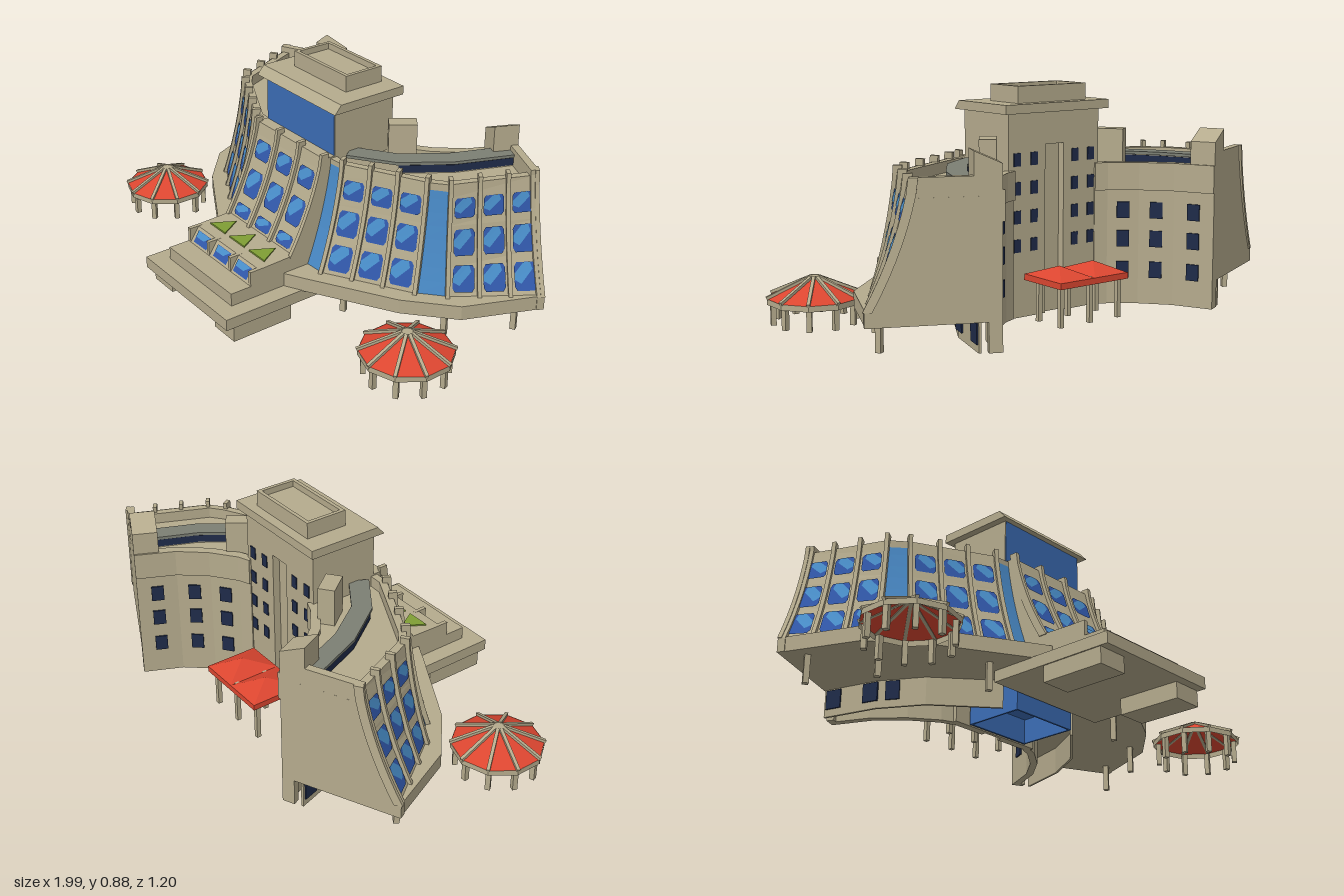
import * as THREE from 'three';
import { mergeGeometries } from 'three/addons/utils/BufferGeometryUtils.js';

const mat = (name, color, side = THREE.FrontSide) => Object.assign(new THREE.MeshStandardMaterial({ color, side }), { name });
const stone = mat('stone', 0xb5ab8d, THREE.DoubleSide);
const glass = mat('glass', 0x3c6db6, THREE.DoubleSide);
const stripGlass = mat('stripGlass', 0x4888c4, THREE.DoubleSide);
const pane = mat('pane', 0x3158aa);
const shine = mat('shine', 0x4a90cc);
const navy = mat('navy', 0x1f2b49);
const red = mat('red', 0xdc4630, THREE.DoubleSide);
const green = mat('green', 0x7f9e34);
const gray = mat('gray', 0x7c7f74);

function add(group, name, material, geos) {
  const list = [geos].flat().map(g => {
    const n = g.index ? g.toNonIndexed() : g.clone();
    n.deleteAttribute('uv');
    n.computeVertexNormals();
    return n;
  });
  const mesh = new THREE.Mesh(mergeGeometries(list), material);
  mesh.name = name;
  group.add(mesh);
}

// Box from its limits
const box = (x0, x1, y0, y1, z0, z1) =>
  new THREE.BoxGeometry(x1 - x0, y1 - y0, z1 - z0).translate((x0 + x1) / 2, (y0 + y1) / 2, (z0 + z1) / 2);

// Four thin walls around a rectangle
const frame = (x0, x1, y0, y1, z0, z1, t) => [box(x0, x1, y0, y1, z0, z0 + t), box(x0, x1, y0, y1, z1 - t, z1),
  box(x0, x0 + t, y0, y1, z0 + t, z1 - t), box(x1 - t, x1, y0, y1, z0 + t, z1 - t)];

const shapeOf = pts => new THREE.Shape(pts.map(p => new THREE.Vector2(p[0], p[1])));
const extrude = (pts, depth) => new THREE.ExtrudeGeometry(shapeOf(pts), { depth, bevelEnabled: false });

// Upright prism over a plan outline of [x, z] points
const prism = (plan, y0, y1) => extrude(plan.map(([x, z]) => [x, -z]), y1 - y0).rotateX(-Math.PI / 2).translate(0, y0, 0);

// Shift a plan polyline sideways
function offset(pts, d) {
  return pts.map((p, i) => {
    const a = pts[Math.max(i - 1, 0)], b = pts[Math.min(i + 1, pts.length - 1)];
    const l = Math.hypot(b[0] - a[0], b[1] - a[1]);
    return [p[0] - (b[1] - a[1]) / l * d, p[1] + (b[0] - a[0]) / l * d];
  });
}
const ribbon = (pts, d0, d1, y0, y1) => prism([...offset(pts, d0), ...offset(pts, d1).reverse()], y0, y1);

// Skin over equal rings of points, capped at both ends when closed
function loft(rings, closed) {
  const n = rings[0].length, idx = [];
  for (let r = 0; r < rings.length - 1; r++)
    for (let i = 0; i < (closed ? n : n - 1); i++) {
      const a = r * n + i, b = r * n + (i + 1) % n;
      idx.push(a, b, b + n, a, b + n, a + n);
    }
  if (closed) {
    const t = (rings.length - 1) * n;
    for (let i = 1; i < n - 1; i++) idx.push(0, i + 1, i, t, t + i, t + i + 1);
  }
  const g = new THREE.BufferGeometry();
  g.setAttribute('position', new THREE.Float32BufferAttribute(rings.flat(2), 3));
  g.setIndex(idx);
  return g;
}

// Flaring facade between two bottom and two top plan points
const flare = y => { const u = Math.max(0, (0.6 - y) / 0.435); return 0.5 * u + 0.5 * u * u; };
function facade(b0, b1, t0, t1) {
  const l = Math.hypot(b1[0] - b0[0], b1[1] - b0[1]);
  const d = [(b1[0] - b0[0]) / l, (b1[1] - b0[1]) / l];
  return (s, y, out = 0, side = 0) => {
    const f = flare(y);
    const c = k => { const a = t0[k] + (b0[k] - t0[k]) * f, b = t1[k] + (b1[k] - t1[k]) * f; return a + (b - a) * s; };
    return [c(0) - d[1] * out + d[0] * side, y, c(1) + d[0] * out + d[1] * side];
  };
}
const levels = (y0, y1, n = 8) => Array.from({ length: n + 1 }, (_, i) => y0 + (y1 - y0) * i / n);
const sheet = (P, y0, y1, out) => loft(levels(y0, y1).map(y => [P(0, y, out), P(1, y, out)]), false);
const fin = (P, s, y0, w) => loft(levels(y0, 0.62).map(y =>
  [P(s, y, 0.014, -w), P(s, y, 0.014, w), P(s, y, -0.02, w), P(s, y, -0.02, -w)]), true);

// Thin plate on a facade from [s, y] corners
function plate(P, pts, out) {
  const g = new THREE.BufferGeometry();
  g.setAttribute('position', new THREE.Float32BufferAttribute(pts.flatMap(([s, y]) => P(s, y, out)), 3));
  g.setIndex(pts.slice(2).flatMap((_, i) => [0, i + 1, i + 2]));
  return g;
}

// Three columns of windows with a diagonal reflection, and four fins
function facadeDetails(group, P, name, rows, finBottom, w) {
  const panes = [], shines = [];
  for (const s of [0.175, 0.5, 0.825]) for (const [a, b] of rows) {
    const c = 0.025, k = (b - a) * 0.15, h = b - a;
    panes.push(plate(P, [[s - w + c, a], [s + w - c, a], [s + w, a + k], [s + w, b - k], [s + w - c, b], [s - w + c, b], [s - w, b - k], [s - w, a + k]], 0.005));
    shines.push(plate(P, [[s - w, a + h * 0.4], [s - w * 0.4, a + h * 0.25], [s + w * 0.7, b - h * 0.25], [s + w * 0.5, b], [s - w * 0.1, b], [s - w, b - h * 0.4]], 0.0065));
  }
  add(group, name + 'Windows', pane, panes);
  add(group, name + 'WindowShine', shine, shines);
  add(group, name + 'Fins', stone, [0.01, 0.34, 0.66, 0.99].map(s => fin(P, s, finBottom, 0.008)));
}

function buildWing() {
  const g = new THREE.Group();
  const slab = [[0.225, 0.285], [0.3, 0.245], [0.635, 0.055], [0.81, -0.1], [0.94, -0.4]];
  const bottom = [[0.215, 0.175], [0.3, 0.17], [0.64, -0.025], [0.725, -0.1], [0.935, -0.4]];
  const top = [[0.215, 0.06], [0.285, 0.055], [0.595, -0.105], [0.655, -0.155], [0.79, -0.47]];
  const inner = [[0.2, -0.25], [0.25, -0.27], [0.35, -0.345], [0.44, -0.45], [0.51, -0.6]];
  const middle = [[0.22, -0.03], [0.38, -0.14], [0.5, -0.31], [0.6, -0.55]];
  const ground = [[0.2, 0.02], [0.42, -0.17], [0.52, -0.34], [0.585, -0.56]];
  const back = [...inner].reverse();

  add(g, 'wingFloorSlab', stone, prism([[0.2, 0.285], ...slab, ...back], 0.11, 0.168));
  add(g, 'wingGroundWall', stone, ribbon(ground, -0.01, 0, 0, 0.111));
  add(g, 'wingRoof', stone, prism([[0.2, 0.06], ...top, ...back], 0.52, 0.55));
  add(g, 'wingParapet', stone, ribbon(top, -0.03, 0, 0.54, 0.594));
  add(g, 'wingBackWall', stone, [ribbon(inner, 0, 0.03, 0, 0.57), ribbon(inner, -0.008, 0, 0.46, 0.57)]);
  add(g, 'penthouse', stone, ribbon(middle, -0.03, 0.03, 0.54, 0.588));
  add(g, 'penthouseWindows', navy, [ribbon(middle, -0.034, -0.03, 0.555, 0.585), ribbon(middle.slice(1), 0.03, 0.034, 0.555, 0.585)]);
  add(g, 'penthouseRoof', gray, ribbon(middle, -0.039, 0.039, 0.588, 0.6));

  // Facades alternate between glass strips and window bays
  for (let i = 0; i < 4; i++) {
    const P = facade(bottom[i], bottom[i + 1], top[i], top[i + 1]);
    if (i % 2 === 0) add(g, 'glassStrip', stripGlass, sheet(P, 0.165, 0.585, -0.004));
    else {
      add(g, 'bayWall', stone, sheet(P, 0.165, 0.595, 0));
      facadeDetails(g, P, 'bay', [[0.185, 0.285], [0.32, 0.42], [0.463, 0.54]], 0.165, 0.115);
    }
  }

  // End wall, roof block on its inner corner, and corner leg
  const angle = Math.atan2(0.2, 0.43);
  const atEnd = geo => geo.rotateY(-angle).translate(0.51, 0, -0.6);
  const curve = levels(0.165, 0.6, 7).map(y => [0.318 + 0.16 * flare(y), y]);
  add(g, 'endWall', stone, atEnd(extrude([[0, 0.11], [0.478, 0.11], ...curve, [0.318, 0.62], [0, 0.62]], 0.03)));
  add(g, 'endBlock', stone, atEnd(extrude([[0, 0.45], [0.1, 0.45], [0.1, 0.705], [0, 0.66]], 0.1)));
  add(g, 'endLeg', stone, atEnd(box(0, 0.05, 0, 0.12, 0, 0.03)));
  add(g, 'roofBlock', stone, new THREE.BoxGeometry(0.065, 0.4, 0.11).rotateY(-0.65).translate(0.302, 0.5, -0.227));

  // Columns below the overhang
  add(g, 'columns', stone, [[0.36, 0.1], [0.72, -0.1], [0.85, -0.34]].map(([x, z]) =>
    new THREE.BoxGeometry(0.022, 0.11, 0.022).rotateY(0.5).translate(x, 0.055, z)));

  // Windows along the back and the ground floor
  const wallWindows = (a, b, ts, ys, w, h, side) => ts.flatMap(t => ys.map(y => {
    const dx = b[0] - a[0], dz = b[1] - a[1], l = Math.hypot(dx, dz), o = side * 0.002;
    return new THREE.BoxGeometry(w, h, 0.008).rotateY(-Math.atan2(dz, dx))
      .translate(a[0] + dx * t - dz / l * o, y, a[1] + dz * t + dx / l * o);
  }));
  add(g, 'backWindows', navy, [1, 2, 3].flatMap(i => wallWindows(inner[i], inner[i + 1], [0.5], [0.14, 0.265, 0.38], 0.05, 0.065, -1)));
  add(g, 'groundWindows', navy, [
    ...wallWindows(ground[1], ground[2], [0.66], [0.067], 0.055, 0.075, 1),
    ...wallWindows(ground[2], ground[3], [0.1, 0.82], [0.067], 0.065, 0.075, 1)]);

  // Ten-sided pavilion, open underneath
  const cx = 0.82, cz = 0.175, N = 10, posts = [], ribs = [];
  for (let i = 0; i < N; i++) {
    const a = i / N * Math.PI * 2;
    posts.push(new THREE.BoxGeometry(0.02, 0.09, 0.02).rotateY(a).translate(cx + Math.sin(a) * 0.157, 0.045, cz + Math.cos(a) * 0.157));
    ribs.push(new THREE.BoxGeometry(0.013, 0.013, 0.178).rotateX(Math.atan2(0.07, 0.16)).translate(0, 0.138, 0.1).rotateY(a).translate(cx, 0, cz));
  }
  add(g, 'pavilionRoof', red, new THREE.CylinderGeometry(0.02, 0.178, 0.07, N, 1, true).translate(cx, 0.135, cz));
  add(g, 'pavilionFrame', stone, [...posts, ...ribs,
    new THREE.CylinderGeometry(0.179, 0.179, 0.022, N, 1, true).translate(cx, 0.09, cz),
    new THREE.CylinderGeometry(0.022, 0.026, 0.012, N).translate(cx, 0.171, cz)]);
  return g;
}

// Mirrored copy with corner order restored
function mirror(half) {
  const out = new THREE.Group();
  for (const m of half.children) {
    const geo = m.geometry.clone().scale(-1, 1, 1), p = geo.attributes.position.array;
    for (let i = 0; i < p.length; i += 9)
      for (let k = 3; k < 6; k++) [p[i + k], p[i + k + 3]] = [p[i + k + 3], p[i + k]];
    add(out, m.name, m.material, geo);
  }
  return out;
}

function buildCentre() {
  const g = new THREE.Group();
  // Main block with flaring front and steps
  const curve = levels(0.6, 0.23, 8).map(y => [0.09 + 0.19 * flare(y), y]);
  const profile = [[-0.2, 0.6], ...curve, [0.4, 0.225], [0.44, 0.165], [0.53, 0.165], [0.53, 0.11], [-0.2, 0.11]];
  add(g, 'centreBlock', stone, extrude(profile.map(([z, y]) => [-z, y]), 0.44).rotateY(Math.PI / 2).translate(-0.22, 0, 0));
  const P = facade([-0.22, 0.28], [0.22, 0.28], [-0.22, 0.09], [0.22, 0.09]);
  facadeDetails(g, P, 'centre', [[0.24, 0.285], [0.32, 0.42], [0.465, 0.54]], 0.225, 0.105);

  // Sloped lower windows, their fins and the planted terrace
  const slope = (x, y, o = 0) => [x, y, 0.44 - (y - 0.165) * 0.667 + o];
  add(g, 'terraceWindows', pane, [-0.14, 0, 0.14].map(x => plate(slope, [[x - 0.045, 0.175], [x + 0.045, 0.175], [x + 0.045, 0.217], [x - 0.045, 0.217]], 0.004)));
  add(g, 'terraceWindowShine', shine, [-0.14, 0, 0.14].map(x => plate(slope, [[x - 0.045, 0.195], [x + 0.01, 0.195], [x + 0.04, 0.217], [x - 0.045, 0.217]], 0.006)));
  add(g, 'terraceFins', stone, [-0.212, -0.075, 0.075, 0.212].map(x => box(x - 0.008, x + 0.008, 0.165, 0.226, 0.38, 0.44)));
  add(g, 'planters', green, [-0.135, 0, 0.135].map(x => prism([[x - 0.052, 0.353], [x + 0.052, 0.353], [x, 0.263]], 0.224, 0.233)));

  // Podium on two legs, with the open glazed hall below
  add(g, 'podium', stone, box(-0.29, 0.29, 0.065, 0.112, 0.06, 0.6));
  add(g, 'podiumLegs', stone, [-0.22, 0.22].map(x => box(x - 0.065, x + 0.065, 0, 0.066, 0.3, 0.565)));
  add(g, 'hall', glass, [...frame(-0.155, 0.155, 0, 0.11, -0.2, 0.05, 0.008), box(-0.147, 0.147, 0.1, 0.109, -0.19, 0.042)]);

  // Tower with a tall recess at the back
  add(g, 'tower', stone, [box(-0.22, 0.22, 0.11, 0.785, -0.215, 0.04), box(0.045, 0.22, 0, 0.785, -0.245, -0.21),
    box(-0.22, -0.045, 0, 0.785, -0.245, -0.21), box(-0.05, 0.05, 0.66, 0.785, -0.245, -0.21), box(-0.05, 0.05, 0, 0.12, -0.225, -0.21)]);
  add(g, 'towerGlass', glass, box(-0.217, 0.217, 0.6, 0.784, 0.037, 0.042));
  add(g, 'towerBackWindows', navy, [-0.18, -0.1, 0.1, 0.18].flatMap(x => [0.28, 0.39, 0.5, 0.61].map(y =>
    box(x - 0.016, x + 0.016, y - 0.025, y + 0.025, -0.249, -0.243))));

  // Roof slab with sloped front edge and hollow crown
  add(g, 'towerRoof', stone, extrude([[0.27, 0.785], [0.27, 0.82], [-0.035, 0.82], [-0.065, 0.785]], 0.5).rotateY(Math.PI / 2).translate(-0.25, 0, 0));
  add(g, 'roofCrown', stone, [box(-0.165, 0.165, 0.82, 0.86, -0.23, -0.055), ...frame(-0.165, 0.165, 0.86, 0.885, -0.23, -0.055, 0.015)]);

  // Back entrance canopy: two hipped shells on posts
  const hip = x => new THREE.ConeGeometry(Math.SQRT1_2, 1, 4, 1, true, Math.PI / 4).scale(0.165, 0.04, 0.22).translate(x, 0.195, -0.38);
  add(g, 'canopyRoof', red, [hip(-0.0825), hip(0.0825), ...frame(-0.165, 0.165, 0.152, 0.176, -0.49, -0.27, 0.008)]);
  add(g, 'canopyPosts', stone, [-0.14, 0, 0.14].flatMap(x => [-0.46, -0.33].map(z => box(x - 0.009, x + 0.009, 0, 0.177, z - 0.009, z + 0.009))));
  return g;
}

export function createModel() {
  const model = new THREE.Group();
  model.name = 'building';
  const left = buildWing(), right = mirror(left), centre = buildCentre();
  left.name = 'leftWing';
  right.name = 'rightWing';
  centre.name = 'centre';
  model.add(left, right, centre);
  return model;
}
